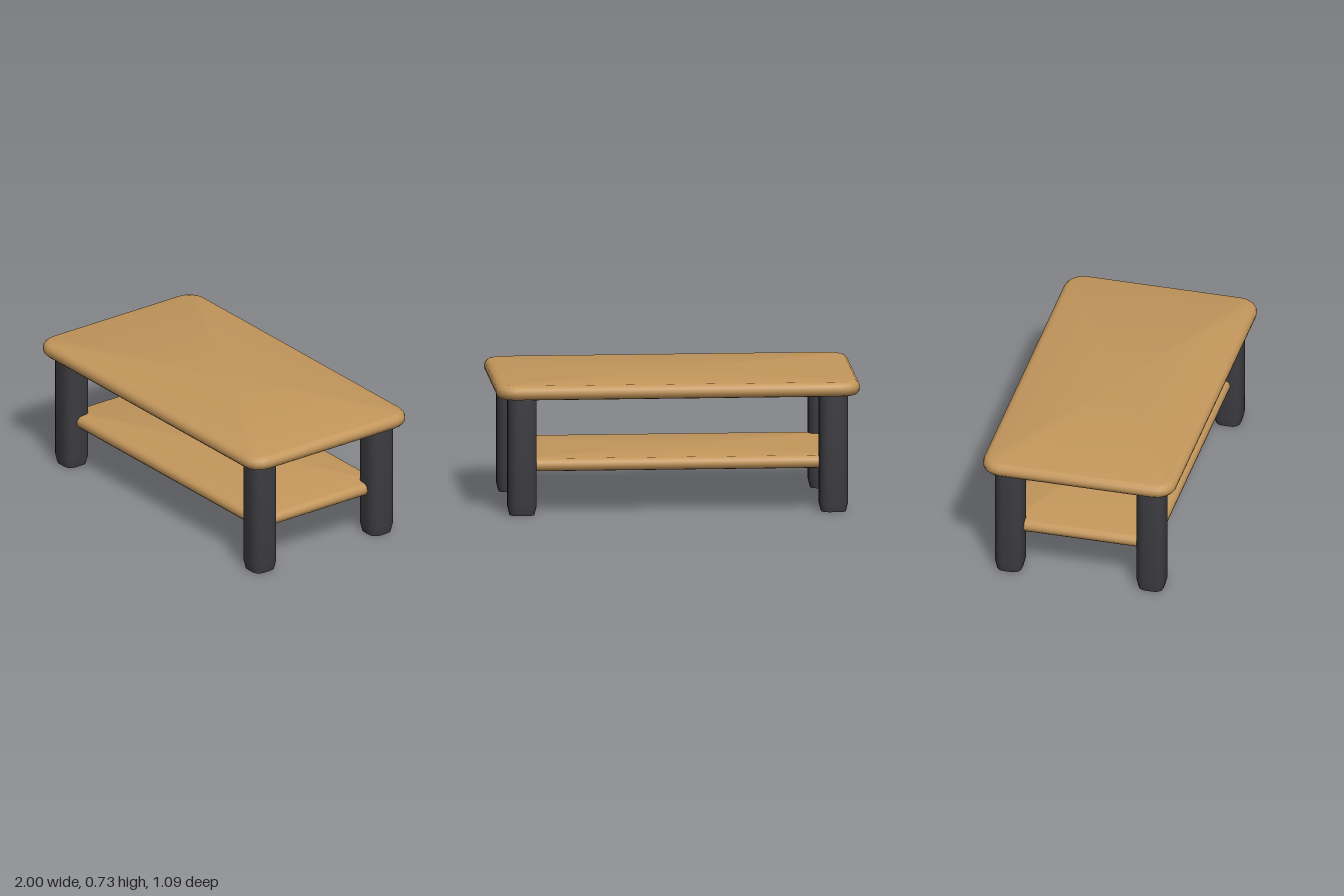
import * as THREE from 'three';
import { toCreasedNormals } from 'three/addons/utils/BufferGeometryUtils.js';

const CORNER_STEPS = 4;

// Rounded-rectangle outline, counted around the y axis
function outline(halfX, halfZ, radius, y) {
  const points = [];
  const corners = [[1, 1], [-1, 1], [-1, -1], [1, -1]];
  corners.forEach(([sx, sz], c) => {
    for (let i = 0; i <= CORNER_STEPS; i++) {
      const a = (c + i / CORNER_STEPS) * Math.PI / 2;
      points.push([
        sx * (halfX - radius) + radius * Math.cos(a), y,
        sz * (halfZ - radius) + radius * Math.sin(a),
      ]);
    }
  });
  return points;
}

// Solid lofted through rounded rectangles; profile is [inset, y] from bottom to top
function roundedLoft(halfX, halfZ, radius, profile) {
  const rings = profile.map(([inset, y]) => outline(halfX - inset, halfZ - inset, radius - inset, y));
  const n = rings[0].length;
  const vertices = rings.flat();
  const bottom = vertices.push([0, profile[0][1], 0]) - 1;
  const top = vertices.push([0, profile[profile.length - 1][1], 0]) - 1;
  const last = (rings.length - 1) * n;
  const index = [];
  for (let i = 0; i < n; i++) {
    const j = (i + 1) % n;
    for (let r = 0; r < last; r += n) {
      index.push(r + i, r + n + i, r + j, r + j, r + n + i, r + n + j);
    }
    index.push(bottom, i, j, top, last + j, last + i);
  }
  const geometry = new THREE.BufferGeometry();
  geometry.setAttribute('position', new THREE.Float32BufferAttribute(vertices.flat(), 3));
  geometry.setIndex(index);
  return toCreasedNormals(geometry, THREE.MathUtils.degToRad(40));
}

// Board with a half-round edge all the way around
function board(halfX, halfZ, radius, y0, y1) {
  const edge = (y1 - y0) / 2;
  const profile = [];
  for (let i = 0; i <= 6; i++) {
    const a = (i / 6 - 0.5) * Math.PI;
    profile.push([edge * (1 - Math.cos(a)), y0 + edge * (1 + Math.sin(a))]);
  }
  return roundedLoft(halfX, halfZ, radius, profile);
}

export function createModel() {
  const wood = new THREE.MeshStandardMaterial({ color: 0xc4975c });
  wood.name = 'wood';
  const charcoal = new THREE.MeshStandardMaterial({ color: 0x3e3e43 });
  charcoal.name = 'charcoal';

  const table = new THREE.Group();
  table.name = 'coffeeTable';
  const add = (name, geometry, material) => {
    const mesh = new THREE.Mesh(geometry, material);
    mesh.name = name;
    table.add(mesh);
    return mesh;
  };

  // Top and lower shelf
  add('tableTop', board(1, 0.545, 0.11, 0.648, 0.728), wood);
  add('shelf', board(0.88, 0.425, 0.07, 0.235, 0.305), wood);

  // Four rounded legs with tapered feet
  const legGeometry = roundedLoft(0.08, 0.08, 0.055, [[0.012, 0], [0, 0.05], [0, 0.66]]);
  for (const [sideName, x] of [['Left', 0.855], ['Right', -0.855]]) {
    for (const [endName, z] of [['front', 0.4], ['back', -0.4]]) {
      add(`${endName}${sideName}Leg`, legGeometry, charcoal).position.set(x, 0, z);
    }
  }
  return table;
}
